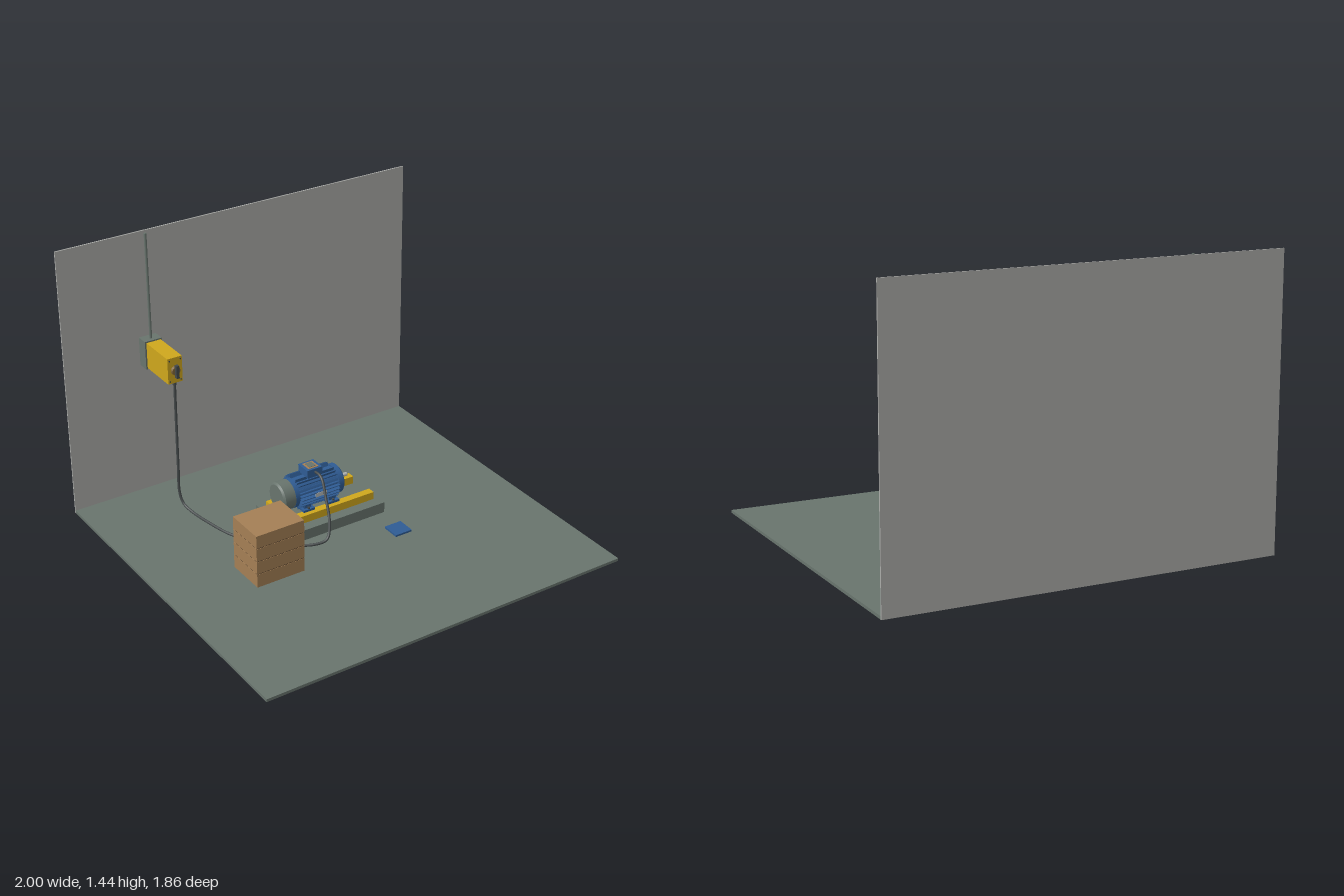
import * as THREE from 'three';

const paint = (name, color) => {
  const m = new THREE.MeshStandardMaterial({ color });
  m.name = name;
  return m;
};

export function createModel() {
  const mats = {
    floor: paint('floor grey green', 0x68746d),
    wall: paint('wall grey', 0xabaca9),
    yellow: paint('safety yellow', 0xcfa71c),
    blue: paint('motor blue', 0x2f5c94),
    wood: paint('crate wood', 0xa47f55),
    seam: paint('seam brown', 0x4a3826),
    dark: paint('cable dark grey', 0x44494a),
    steel: paint('bright steel', 0xb4b8b8),
    bronze: paint('knob bronze', 0x80663a),
  };
  const root = new THREE.Group();
  root.name = 'motorWorkshop';

  const group = (name) => {
    const g = new THREE.Group();
    g.name = name;
    root.add(g);
    return g;
  };
  const add = (parent, name, geo, mat, x = 0, y = 0, z = 0) => {
    const m = new THREE.Mesh(geo, mat);
    m.name = name;
    m.position.set(x, y, z);
    parent.add(m);
    return m;
  };
  // box given by its minimum and maximum on each axis
  const box = (parent, name, mat, x0, x1, y0, y1, z0, z1) =>
    add(parent, name, new THREE.BoxGeometry(x1 - x0, y1 - y0, z1 - z0), mat,
      (x0 + x1) / 2, (y0 + y1) / 2, (z0 + z1) / 2);
  // solid of revolution along x from [x, radius] pairs, with hard edges
  const turned = (parent, name, mat, profile, seg = 32) => {
    for (let i = 0; i + 1 < profile.length; i++) {
      const [x0, r0] = profile[i], [x1, r1] = profile[i + 1];
      const geo = new THREE.LatheGeometry(
        [new THREE.Vector2(r0, x0), new THREE.Vector2(r1, x1)], seg);
      geo.rotateZ(-Math.PI / 2);
      add(parent, name, geo, mat);
    }
  };

  // room
  const room = group('room');
  box(room, 'floor', mats.floor, -1, 1, 0, 0.015, -0.92, 0.928);
  box(room, 'wall', mats.wall, -1, 1, 0, 1.44, -0.928, -0.92);

  // crate of four stacked boards with dark seams
  const crate = group('crate');
  const levels = [0.015, 0.09, 0.16, 0.233, 0.3];
  for (let i = 0; i < 4; i++) {
    box(crate, 'crateBoard', mats.wood, -0.59, -0.325, levels[i], levels[i + 1] - (i < 3 ? 0.004 : 0), -0.037, 0.177);
    if (i < 3) box(crate, 'crateSeam', mats.seam, -0.588, -0.327, levels[i + 1] - 0.004, levels[i + 1], -0.035, 0.175);
  }

  // plinth and rails
  const base = group('motorBase');
  box(base, 'plinth', mats.floor, -0.257, 0.295, 0.015, 0.072, -0.385, -0.048);
  for (const z of [-0.31, -0.125]) box(base, 'rail', mats.yellow, -0.23, 0.268, 0.072, 0.113, z - 0.02, z + 0.02);

  // motor, built around its own axis
  const motor = group('motor');
  motor.position.set(0, 0.196, -0.215);
  turned(motor, 'fanCowl', mats.floor,
    [[-0.237, 0], [-0.237, 0.066], [-0.228, 0.076], [-0.17, 0.076], [-0.17, 0]]);
  turned(motor, 'motorFrame', mats.blue,
    [[-0.17, 0], [-0.17, 0.077], [-0.148, 0.077], [-0.148, 0.07], [0.084, 0.07], [0.084, 0.077],
      [0.112, 0.077], [0.12, 0.068], [0.12, 0]]);
  turned(motor, 'bearingCap', mats.floor, [[0.12, 0.022], [0.133, 0.02], [0.133, 0]], 24);
  turned(motor, 'shaft', mats.steel, [[0.133, 0.01], [0.176, 0.01], [0.176, 0]], 20);
  const fins = 28;
  for (let i = 0; i < fins; i++) {
    const a = ((i + 0.5) / fins) * Math.PI * 2;
    const up = Math.cos(a);
    if (up < -0.9 || up > 0.95) continue;
    const fin = add(motor, 'coolingFin', new THREE.BoxGeometry(0.226, 0.026, 0.004), mats.blue,
      -0.032, Math.cos(a) * 0.078, Math.sin(a) * 0.078);
    fin.rotation.x = a;
  }
  for (const s of [-1, 1]) {
    for (const x of [-0.1, 0.045]) {
      const z = s * 0.065;
      box(motor, 'foot', mats.blue, x - 0.032, x + 0.032, -0.083, -0.071, z - 0.021, z + 0.021);
      box(motor, 'footWeb', mats.blue, x - 0.02, x + 0.02, -0.071, -0.035, z - 0.012, z + 0.005);
      add(motor, 'footBolt', new THREE.CylinderGeometry(0.007, 0.007, 0.008, 6), mats.dark, x, -0.067, s * 0.078);
    }
  }
  box(motor, 'nameplate', mats.steel, -0.065, 0.0, -0.012, 0.01, 0.088, 0.092);

  // terminal box on top of the motor
  box(motor, 'terminalBoxNeck', mats.blue, -0.075, -0.005, 0.06, 0.082, -0.035, 0.035);
  box(motor, 'terminalBox', mats.blue, -0.083, 0.005, 0.08, 0.12, -0.042, 0.042);
  box(motor, 'terminalFrame', mats.wood, -0.068, -0.01, 0.12, 0.122, -0.03, 0.03);
  box(motor, 'terminalCover', mats.floor, -0.058, -0.02, 0.122, 0.124, -0.021, 0.021);

  // blue plate on the floor
  box(group('floorPlate'), 'plate', mats.blue, 0.21, 0.305, 0.015, 0.025, 0.08, 0.177);

  // wall switch and its conduit
  const sw = group('wallSwitch');
  box(sw, 'backBox', mats.floor, -0.588, -0.494, 0.728, 0.88, -0.92, -0.857);
  box(sw, 'switchBody', mats.yellow, -0.58, -0.5, 0.735, 0.873, -0.857, -0.645);
  const disc = add(sw, 'knobBase', new THREE.CylinderGeometry(0.022, 0.024, 0.014, 24), mats.bronze, -0.54, 0.804, -0.638);
  disc.rotation.x = Math.PI / 2;
  box(sw, 'knobHandle', mats.dark, -0.548, -0.532, 0.77, 0.838, -0.634, -0.615);
  for (const [x, y] of [[-0.57, 0.86], [-0.51, 0.86], [-0.57, 0.748], [-0.51, 0.748]]) {
    const screw = add(sw, 'coverScrew', new THREE.CylinderGeometry(0.004, 0.004, 0.004, 10), mats.dark, x, y, -0.644);
    screw.rotation.x = Math.PI / 2;
  }
  add(sw, 'conduit', new THREE.CylinderGeometry(0.007, 0.007, 0.56, 14), mats.floor, -0.54, 1.16, -0.885);
  add(sw, 'cableGland', new THREE.CylinderGeometry(0.01, 0.01, 0.016, 12), mats.dark, -0.54, 0.728, -0.657);

  // cable from the switch, over the floor, up to the terminal box
  const path = new THREE.CatmullRomCurve3([
    [-0.54, 0.725, -0.657], [-0.54, 0.5, -0.66], [-0.54, 0.25, -0.662], [-0.54, 0.1, -0.66],
    [-0.533, 0.045, -0.635], [-0.52, 0.024, -0.575], [-0.498, 0.022, -0.43], [-0.465, 0.022, -0.29],
    [-0.385, 0.022, -0.14], [-0.26, 0.022, -0.035], [-0.175, 0.022, 0.018], [-0.105, 0.037, 0.035],
    [-0.07, 0.11, 0.005], [-0.05, 0.21, -0.058], [-0.038, 0.285, -0.108], [-0.036, 0.298, -0.135],
    [-0.036, 0.296, -0.18],
  ].map((p) => new THREE.Vector3(...p)));
  add(group('cable'), 'powerCable', new THREE.TubeGeometry(path, 140, 0.007, 10), mats.dark);

  return root;
}
